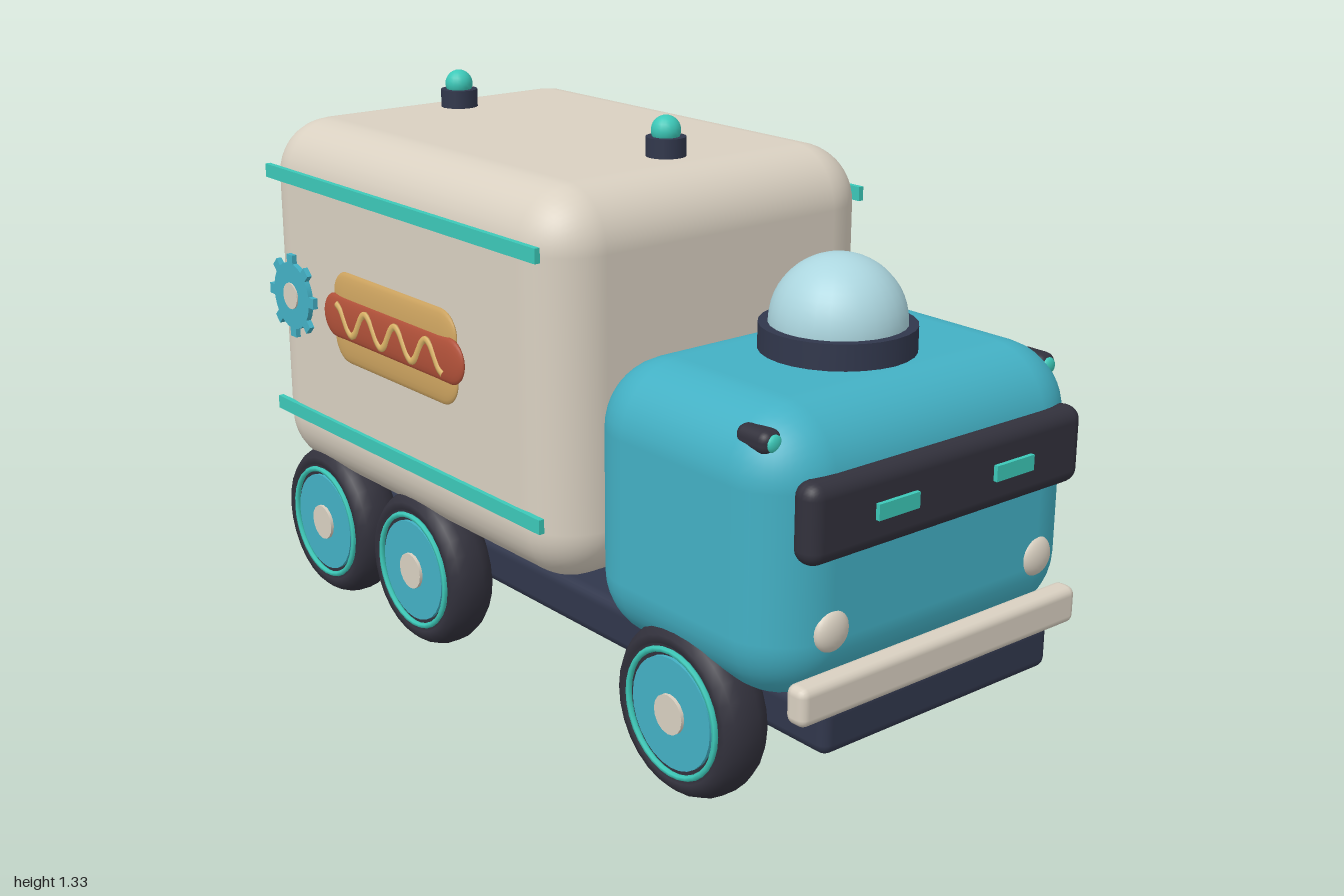
import * as THREE from 'three';
import { RoundedBoxGeometry } from 'three/addons/geometries/RoundedBoxGeometry.js';

const mat = (name, color) => {
  const m = new THREE.MeshStandardMaterial({ color });
  m.name = name;
  return m;
};

export function createModel() {
  const cream = mat('cream', 0xd9d0c1);
  const blue = mat('cabBlue', 0x43b0c4);
  const teal = mat('teal', 0x3cc8b8);
  const navy = mat('navy', 0x31374c);
  const rubber = mat('rubber', 0x32313c);
  const glass = mat('glass', 0xacd6df);
  const bun = mat('bun', 0xd0a661);
  const sausage = mat('sausage', 0xb3523a);
  const mustard = mat('mustard', 0xddb568);

  const model = new THREE.Group();
  model.name = 'foodTruck';
  // the signs on the left side stick out further, so the truck sits a little off centre
  const truck = new THREE.Group();
  truck.name = 'truck';
  truck.position.z = -0.01;
  model.add(truck);

  const add = (name, geo, material, x, y, z, parent = truck) => {
    const m = new THREE.Mesh(geo, material);
    m.name = name;
    m.position.set(x, y, z);
    parent.add(m);
    return m;
  };
  // rounded box given by its limits in x and y and its half depth
  const block = (name, x0, x1, y0, y1, hz, r, seg, material) =>
    add(name, new RoundedBoxGeometry(x1 - x0, y1 - y0, hz * 2, seg, r), material,
      (x0 + x1) / 2, (y0 + y1) / 2, 0);

  // main masses
  block('chassis', -1.0, 0.975, 0.19, 0.3, 0.342, 0.025, 2, navy);
  block('cargoBody', -0.98, 0.272, 0.325, 1.237, 0.476, 0.14, 5, cream);
  block('cab', 0.315, 0.955, 0.28, 0.912, 0.46, 0.155, 5, blue);
  block('windshield', 0.915, 0.986, 0.615, 0.79, 0.401, 0.033, 3, rubber);
  block('bumper', 0.93, 0.986, 0.28, 0.367, 0.415, 0.02, 2, cream);

  // side strips
  for (const s of [1, -1])
    for (const y of [1.107, 0.493])
      add('sideStrip', new THREE.BoxGeometry(1.145, 0.034, 0.014), teal, -0.357, y, s * 0.48);

  // cab face and corner lamps
  for (const s of [1, -1]) {
    add('eyeLight', new THREE.BoxGeometry(0.014, 0.035, 0.115), teal, 0.989, 0.702, s * 0.172);
    add('headlight', new THREE.SphereGeometry(0.046, 20, 14), cream, 0.948, 0.456, s * 0.307)
      .scale.x = 0.5;
    add('cornerLamp', new RoundedBoxGeometry(0.095, 0.052, 0.056, 3, 0.022), rubber,
      0.832, 0.851, s * 0.403);
    add('cornerLens', new THREE.SphereGeometry(0.019, 14, 10), teal, 0.876, 0.851, s * 0.403)
      .scale.x = 0.5;
  }

  // roof dome
  add('domeCollar', new THREE.CylinderGeometry(0.171, 0.171, 0.07, 28), navy, 0.634, 0.935, 0);
  add('dome', new THREE.SphereGeometry(0.15, 28, 12, 0, Math.PI * 2, 0, Math.PI / 2), glass,
    0.634, 0.97, 0);

  // beacons on the cargo roof
  for (const x of [-0.773, 0.062]) {
    add('beaconBase', new THREE.CylinderGeometry(0.047, 0.047, 0.06, 18), navy, x, 1.252, 0);
    add('beaconBulb', new THREE.SphereGeometry(0.035, 18, 12), teal, x, 1.296, 0);
  }

  // wheels: lathed tyre, with disc, ring and cap on both faces
  const tyreGeo = new THREE.LatheGeometry(
    [[0, -0.05], [0.15, -0.05], [0.155, -0.06], [0.172, -0.06], [0.187, -0.043], [0.197, -0.018],
      [0.197, 0.018], [0.187, 0.043], [0.172, 0.06], [0.155, 0.06], [0.15, 0.05], [0, 0.05]]
      .map(p => new THREE.Vector2(...p)), 28);
  tyreGeo.rotateX(Math.PI / 2);
  const discGeo = new THREE.CylinderGeometry(0.126, 0.126, 0.118, 28).rotateX(Math.PI / 2);
  const capGeo = new THREE.CylinderGeometry(0.045, 0.045, 0.134, 16).rotateX(Math.PI / 2);
  const ringGeo = new THREE.TorusGeometry(0.141, 0.007, 6, 32);
  for (const x of [-0.773, -0.355, 0.634])
    for (const s of [1, -1]) {
      const wheel = new THREE.Group();
      wheel.name = 'wheel';
      wheel.position.set(x, 0.197, s * 0.4);
      truck.add(wheel);
      add('tyre', tyreGeo, rubber, 0, 0, 0, wheel);
      add('wheelDisc', discGeo, blue, 0, 0, 0, wheel);
      add('wheelCap', capGeo, cream, 0, 0, 0, wheel);
      for (const f of [1, -1]) add('wheelRing', ringGeo, teal, 0, 0, f * 0.058, wheel);
    }

  // gear sign
  const gear = new THREE.Group();
  gear.name = 'gearSign';
  gear.position.set(-0.83, 0.8, 0.482);
  truck.add(gear);
  add('gearDisc', new THREE.CylinderGeometry(0.086, 0.086, 0.014, 28).rotateX(Math.PI / 2),
    blue, 0, 0, 0, gear);
  for (let i = 0; i < 8; i++) {
    const a = i * Math.PI / 4;
    add('gearTooth', new THREE.BoxGeometry(0.034, 0.027, 0.014), blue,
      Math.cos(a) * 0.09, Math.sin(a) * 0.09, 0, gear).rotation.z = a;
  }
  add('gearHub', new THREE.CylinderGeometry(0.034, 0.034, 0.02, 20).rotateX(Math.PI / 2),
    cream, 0, 0, 0.001, gear);

  // hot dog sign: flattened capsules and a wavy mustard line
  const sign = new THREE.Group();
  sign.name = 'hotDogSign';
  sign.position.set(-0.357, 0.8, 0.484);
  truck.add(sign);
  const capsule = (name, length, r, depth, material, y, z) => {
    const m = add(name, new THREE.CapsuleGeometry(r, length - 2 * r, 8, 20), material, 0, y, z, sign);
    m.rotation.z = Math.PI / 2;
    m.scale.z = depth / r;
  };
  for (const s of [1, -1]) capsule('bunHalf', 0.53, 0.062, 0.011, bun, s * 0.053, 0);
  capsule('sausage', 0.605, 0.056, 0.012, sausage, 0, 0.007);
  const wave = [];
  for (let i = 0; i <= 28; i++) {
    const t = i / 28;
    wave.push(new THREE.Vector3(-0.23 + 0.46 * t, 0.034 * Math.cos(t * Math.PI * 7), 0));
  }
  add('mustardLine', new THREE.TubeGeometry(new THREE.CatmullRomCurve3(wave), 90, 0.0095, 6),
    mustard, 0, 0, 0.018, sign).scale.z = 0.5;

  return model;
}
